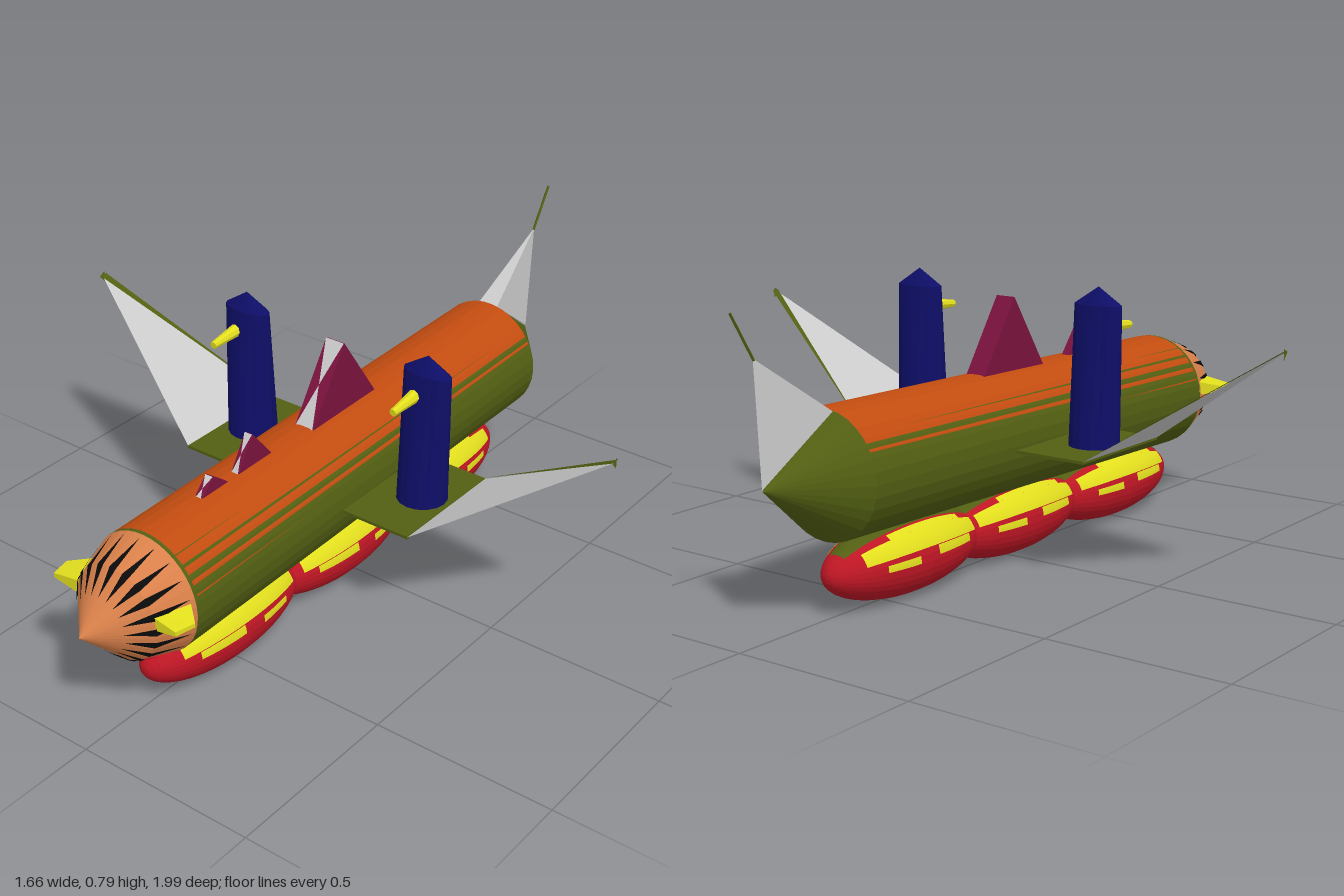
import * as THREE from 'three';

const PI = Math.PI;
const COLORS = {
  olive: 0x525f12, orange: 0xc24c10, copper: 0xd9804a, black: 0x0a0a0a, red: 0xbe1624,
  yellow: 0xe2de1e, navy: 0x0e0e68, maroon: 0x7a123e, grey: 0xcccccc,
};
const MATS = {};
for (const [key, color] of Object.entries(COLORS)) {
  MATS[key] = new THREE.MeshStandardMaterial({ color, flatShading: true, side: THREE.DoubleSide });
}

function add(parent, name, geometry, color) {
  const mesh = new THREE.Mesh(geometry, MATS[color]);
  mesh.name = name;
  parent.add(mesh);
  return mesh;
}

// Move every vertex by a rule
function warp(geometry, rule) {
  const p = geometry.attributes.position;
  const v = new THREE.Vector3();
  for (let i = 0; i < p.count; i++) {
    v.fromBufferAttribute(p, i);
    rule(v);
    p.setXYZ(i, v.x, v.y, v.z);
  }
  geometry.computeVertexNormals();
  return geometry;
}

// Triangles given as lists of three corners
function tris(list) {
  const g = new THREE.BufferGeometry();
  g.setAttribute('position', new THREE.Float32BufferAttribute(list.flat(2), 3));
  g.computeVertexNormals();
  return g;
}

// The hull axis climbs gently toward the tail
const axisY = (z) => 0.333 + (0.76 - z) * 0.02;

// Turned shape along z, from [radius, z] points, following the hull axis
function turned(points, sides, phase = 0) {
  const g = new THREE.LatheGeometry(points.map(([r, z]) => new THREE.Vector2(r, z)), sides, phase);
  g.rotateX(PI / 2);
  return warp(g, (v) => { v.y += axisY(v.z); });
}

// Triangular ridge fin standing on the deck, with pale hourglass on its front slope
function deckFin(parent, z0, z1, apexZ, baseY, apexY, half) {
  const fin = new THREE.Group();
  fin.name = 'deckFin';
  const s = new THREE.Shape([[z0, baseY], [z1, baseY], [apexZ, apexY]].map((p) => new THREE.Vector2(...p)));
  const g = new THREE.ExtrudeGeometry(s, { depth: 2 * half, bevelEnabled: false });
  g.translate(0, 0, -half).rotateY(-PI / 2);
  add(fin, 'finRidge', g, 'maroon');
  const e = 0.002;
  const mid = [0, (baseY + apexY) / 2 + e, (z1 + apexZ) / 2 + e];
  add(fin, 'finMarking', tris([
    [[-half, apexY, apexZ + e], mid, [half, apexY, apexZ + e]],
    [[-half, baseY, z1 + e], [half, baseY, z1 + e], mid],
  ]), 'grey');
  parent.add(fin);
}

export function createModel() {
  const root = new THREE.Group();
  root.name = 'airship';

  // Hull with tail cone, and the painted upper skin that breaks through in streaks
  add(root, 'hull', turned([[0, -0.91], [0.163, -0.7], [0.163, 0.76], [0, 0.76]], 32), 'olive');
  const skin = turned([[0.1602, -0.699], [0.1618, 0.75]], 32, PI / 32);
  add(root, 'upperSkin', warp(skin, (v) => { v.y += 0.0022 + (0.75 - v.z) * 0.002; }), 'orange');

  // Nose with radial dark slots
  add(root, 'nose', turned([[0.163, 0.76], [0.127, 0.865], [0, 0.99]], 40), 'copper');
  const slots = [];
  for (let i = 0; i < 20; i++) {
    const a = (i / 20) * 2 * PI;
    const at = (r, z, da) => [Math.cos(a + da) * r, axisY(z) + Math.sin(a + da) * r, z];
    const back = at(0.161, 0.772, 0), front = at(0.075, 0.92, 0);
    const l = at(0.13, 0.866, 0.075), r = at(0.13, 0.866, -0.075);
    slots.push([back, r, l], [l, r, front]);
  }
  add(root, 'noseSlots', tris(slots), 'black');

  // Small fins beside the nose
  for (const [side, reach] of [[1, 0.2], [-1, 0.217]]) {
    const g = new THREE.BoxGeometry(2, 1, 1);
    warp(g, (v) => {
      const outer = v.x * side > 0, fore = v.z > 0;
      v.set(side * (outer ? reach - (fore ? 0.012 : 0) : (fore ? 0.1 : 0.14)),
        0.352 + v.y * (outer ? 0.012 : 0.045), fore ? 0.865 : (outer ? 0.81 : 0.76));
    });
    add(root, side > 0 ? 'leftNoseFin' : 'rightNoseFin', g, 'yellow');
  }

  // Deck fins
  deckFin(root, -0.12, 0.155, 0.02, 0.5, 0.705, 0.029);
  deckFin(root, 0.29, 0.43, 0.37, 0.495, 0.592, 0.012);
  deckFin(root, 0.45, 0.57, 0.52, 0.49, 0.543, 0.012);

  // Tail fin: a wedge closing to a rear edge, with a mast
  const L = [0.03, 0.523, -0.7], R = [-0.03, 0.523, -0.7], T = [0, 0.68, -0.93], B = [0, 0.37, -0.912];
  add(root, 'tailFin', tris([[L, B, T], [R, T, B], [L, T, R], [L, R, B]]), 'grey');
  const mast = new THREE.TubeGeometry(new THREE.LineCurve3(new THREE.Vector3(0, 0.675, -0.927),
    new THREE.Vector3(0, 0.79, -0.997)), 1, 0.004, 4);
  add(root, 'tailMast', mast, 'olive');

  // Wing platform through the hull
  const plate = new THREE.BoxGeometry(0.73, 0.008, 0.35);
  plate.translate(0, 0.338, 0.025);
  add(root, 'wingPlatform', plate, 'olive');

  for (const s of [1, -1]) {
    const wing = new THREE.Group();
    wing.name = s > 0 ? 'leftWing' : 'rightWing';
    root.add(wing);

    // Raised sail and its rear trim
    const tip = [s * 0.83, 0.645, 0.02];
    add(wing, 'sail', tris([[[s * 0.365, 0.34, 0.2], tip, [s * 0.365, 0.34, -0.15]]]), 'grey');
    add(wing, 'sailTrim', tris([
      [[s * 0.365, 0.342, -0.152], [s * 0.83, 0.647, 0.005], [s * 0.83, 0.647, 0.028]],
      [[s * 0.83, 0.625, 0.012], [s * 0.83, 0.655, 0.012], [s * 0.83, 0.645, 0.03]],
    ]), 'olive');

    // Tower: round foot pinched fore and aft toward a peaked top
    const tower = new THREE.LatheGeometry([[0, 0.336], [0.068, 0.336], [0.07, 0.71], [0, 0.756]]
      .map((p) => new THREE.Vector2(...p)), 16);
    warp(tower, (v) => {
      const t = (v.y - 0.336) / 0.374;
      v.z = v.z * (1 - 0.55 * Math.min(t, 1)) + 0.022;
      v.x += s * (0.284 + 0.008 * t);
    });
    add(wing, 'tower', tower, 'navy');

    // Gun on the tower front
    const gun = new THREE.CylinderGeometry(0.01, 0.019, 0.11, 8);
    gun.rotateX(PI / 2).rotateX(0.08).translate(s > 0 ? 0.276 : -0.307, 0.648, 0.092);
    add(wing, 'gun', gun, 'yellow');
  }

  // Gas bags beneath the hull, with painted patches [colour, elevation, span, from, length]
  const patches = [
    ['yellow', 0.36, 0.52, 0.75, 1.65], ['yellow', 0.1, 0.24, 0.95, 0.55],
    ['yellow', 0.02, 0.2, 1.75, 0.4], ['yellow', 0.88, 0.18, 1.0, 1.0],
  ];
  for (const z of [0.5, 0.03, -0.415]) {
    const bag = new THREE.Group();
    bag.name = 'gasBag';
    bag.position.set(0, 0.105, z);
    bag.scale.set(0.105, 0.1, 0.285);
    add(bag, 'envelope', new THREE.SphereGeometry(1, 32, 24).rotateX(PI / 2), 'red');
    for (const [color, e, span, from, len] of patches) {
      for (const start of [PI + e, 2 * PI - e - span]) {
        add(bag, 'bagPatch', new THREE.SphereGeometry(1.012, 6, 16, start, span, from, len).rotateX(PI / 2), color);
      }
    }
    add(bag, 'bagCrown', new THREE.SphereGeometry(1.012, 8, 16, PI + 1.12, 0.9, 0.5, 2.1).rotateX(PI / 2), 'olive');
    root.add(bag);
  }
  return root;
}
